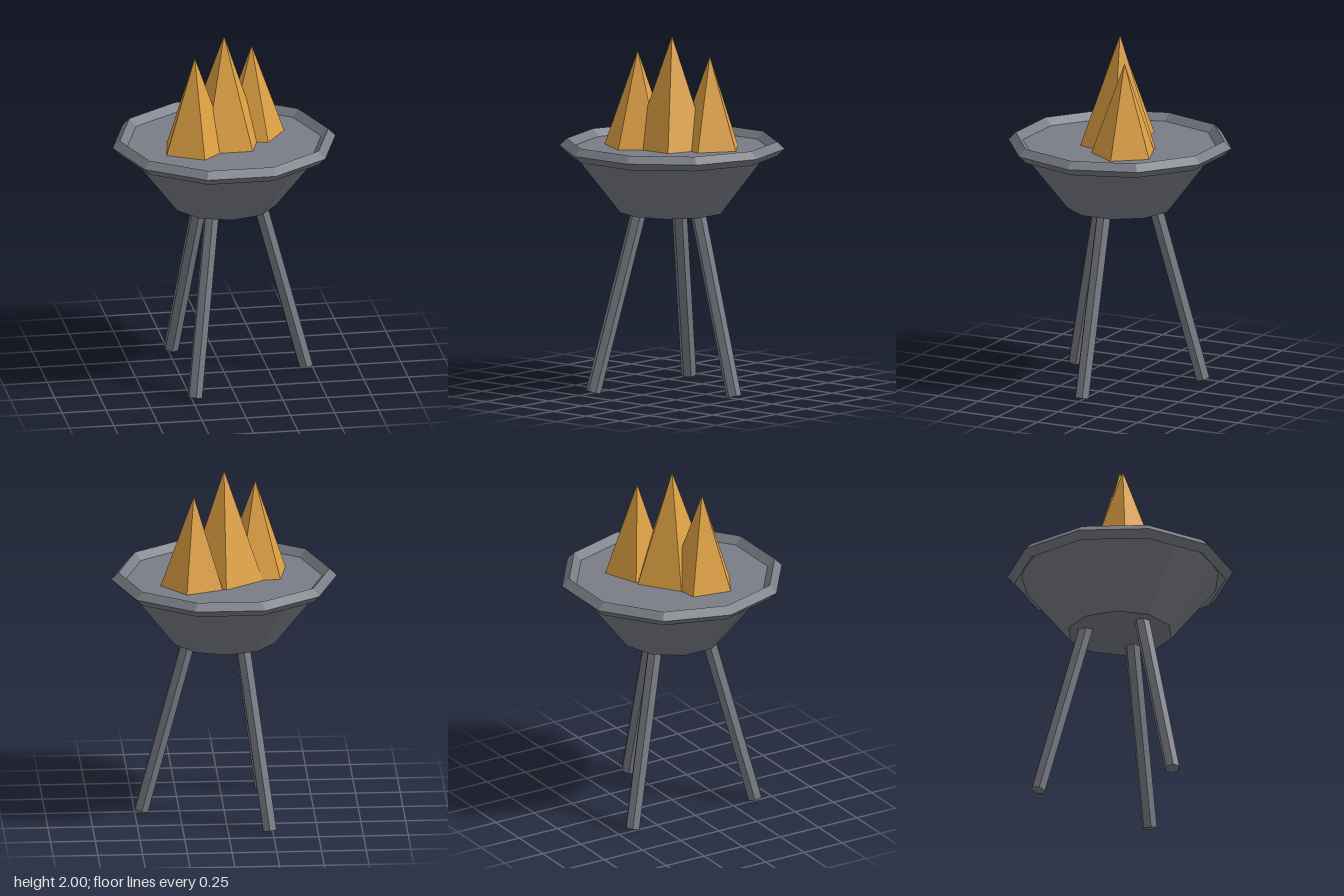
import * as THREE from 'three';

export function createModel() {
  const model = new THREE.Group();
  model.name = 'fireBowl';

  const metal = new THREE.MeshStandardMaterial({ color: 0x7a7d86, flatShading: true });
  metal.name = 'grey metal';
  const fire = new THREE.MeshStandardMaterial({ color: 0xe0a243, flatShading: true });
  fire.name = 'orange flame';

  const add = (name, geometry, material, parent = model) => {
    const mesh = new THREE.Mesh(geometry, material);
    mesh.name = name;
    parent.add(mesh);
    return mesh;
  };

  // Bowl: closed ten-sided frustum
  const bowlBottom = 1.01, bowlTop = 1.37;
  add('bowl', new THREE.CylinderGeometry(0.577, 0.295, bowlTop - bowlBottom, 10), metal)
    .position.y = (bowlTop + bowlBottom) / 2;

  // Rim: diamond-section ring, corners on the x axis
  const rim = add('rim', new THREE.TorusGeometry(0.59, 0.041, 4, 10), metal);
  rim.rotation.x = -Math.PI / 2;
  rim.position.y = 1.37;

  // Legs: three hexagonal rods splayed outwards
  const foot = new THREE.Vector3(0.463, 0.0095, 0);
  const top = new THREE.Vector3(0.186, 1.05, 0);
  const axis = top.clone().sub(foot);
  for (let i = 0; i < 3; i++) {
    const pivot = new THREE.Group();
    pivot.name = 'legPivot' + (i + 1);
    pivot.rotation.y = (i * Math.PI * 2) / 3;
    model.add(pivot);
    const leg = add('leg' + (i + 1), new THREE.CylinderGeometry(0.043, 0.043, axis.length(), 6), metal, pivot);
    leg.position.addVectors(foot, top).multiplyScalar(0.5);
    leg.rotation.z = Math.atan2(-axis.x, axis.y);
  }

  // Flames: five-sided spikes [name, x, z, tip height, radius, turn in degrees]
  const flames = [
    ['middleFlame', 0, 0, 2.0, 0.224, 180],
    ['rightFlame', -0.18, 0.086, 1.91, 0.192, 7.5],
    ['leftFlame', 0.176, -0.12, 1.89, 0.186, 20.7],
  ];
  for (const [name, x, z, tip, radius, turn] of flames) {
    const flame = add(name, new THREE.ConeGeometry(radius, tip - bowlTop, 5), fire);
    flame.position.set(x, (tip + bowlTop) / 2, z);
    flame.rotation.y = THREE.MathUtils.degToRad(turn);
  }

  return model;
}
